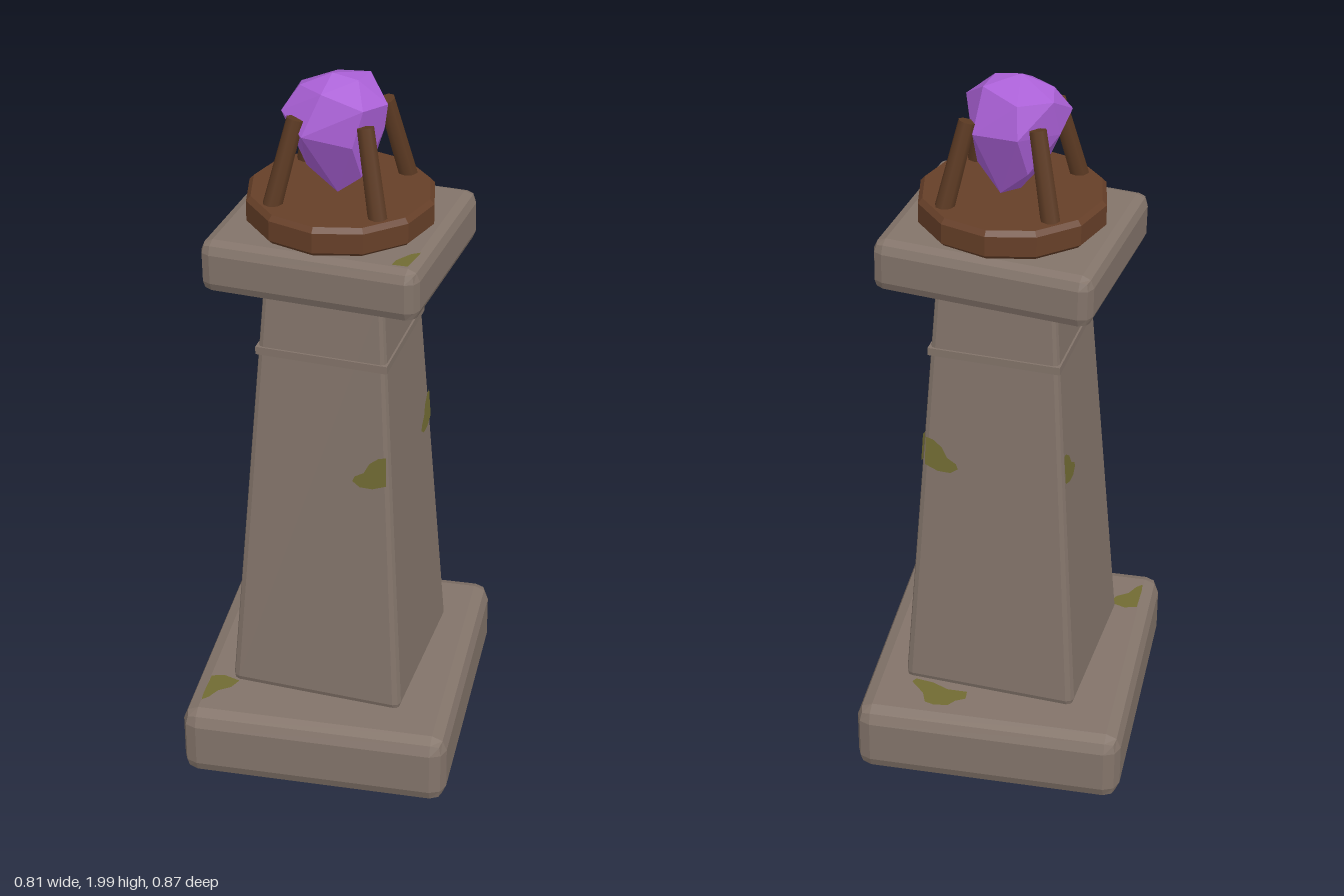
import * as THREE from 'three';
import { RoundedBoxGeometry } from 'three/addons/geometries/RoundedBoxGeometry.js';
import { ConvexGeometry } from 'three/addons/geometries/ConvexGeometry.js';

const material = (name, color, extra = {}) => new THREE.MeshStandardMaterial({ name, color, ...extra });
const stone = material('stone', 0x83746a);
const wood = material('wood', 0x663f28);
const darkWood = material('dark wood', 0x5c3a23);
const crystalPurple = material('crystal purple', 0xaa60d6);
const moss = material('moss', 0x716b33, { side: THREE.DoubleSide });

function mesh(name, geometry, mat) {
  const m = new THREE.Mesh(geometry, mat);
  m.name = name;
  return m;
}

// Bevelled block with flat facets, narrowing towards the top
function block(w, h, d, bevel, topScale = 1) {
  const g = new RoundedBoxGeometry(w, h, d, 1, bevel);
  const p = g.attributes.position;
  for (let i = 0; i < p.count; i++) {
    const s = THREE.MathUtils.lerp(1, topScale, p.getY(i) / h + 0.5);
    p.setX(i, p.getX(i) * s);
    p.setZ(i, p.getZ(i) * s);
  }
  g.computeVertexNormals();
  return g;
}

// Thin moss outline in the xy plane
function patch(points) {
  return new THREE.ShapeGeometry(new THREE.Shape(points.map(([x, y]) => new THREE.Vector2(x, y))));
}

// Moss lying on a horizontal face, points given as x, z
function flatMoss(points, y) {
  const g = patch(points.map(([x, z]) => [x, -z])).rotateX(-Math.PI / 2);
  return mesh('moss', g.translate(0, y, 0), moss);
}

// Crooked slab: turned about y, then tilted sideways
function slab(name, [w, h, d], bevel, y, yaw, tilt) {
  const group = new THREE.Group();
  group.name = name;
  group.position.y = y;
  group.rotation.z = tilt;
  const body = mesh(name + 'Block', block(w, h, d, bevel), stone);
  body.rotation.y = yaw;
  group.add(body);
  return group;
}

export function createModel() {
  const model = new THREE.Group();
  model.name = 'crystalPillar';

  // Base slab with moss on top and traces underneath
  const base = slab('baseSlab', [0.745, 0.208, 0.81], 0.042, 0.112, 0.097, 0.007);
  const backMoss = [[0.05, -0.3], [0.075, -0.317], [0.09, -0.342], [0.13, -0.35], [0.155, -0.345], [0.172, -0.31],
    [0.217, -0.27], [0.21, -0.255], [0.16, -0.258], [0.11, -0.275], [0.055, -0.27]];
  const frontMoss = [[-0.305, 0.25], [-0.27, 0.238], [-0.222, 0.25], [-0.235, 0.285], [-0.265, 0.31],
    [-0.28, 0.345], [-0.295, 0.362], [-0.3, 0.33]];
  base.add(flatMoss(backMoss, 0.107), flatMoss(frontMoss, 0.107));
  base.add(flatMoss(backMoss.map(([x, z]) => [0.13 + (x - 0.13) * 0.7, z]), -0.107));
  model.add(base);

  // Tapering column and its thin neck band
  const column = mesh('column', block(0.492, 1.25, 0.492, 0.02, 0.66), stone);
  column.position.y = 0.835;
  model.add(column);
  const band = mesh('neckBand', new THREE.BoxGeometry(0.36, 0.022, 0.36), stone);
  band.position.y = 1.262;
  model.add(band);

  // Moss growing at the column's edges, one patch per face
  const edgeMoss = [[0.094, -0.03], [0.115, -0.045], [0.15, -0.045], [0.187, -0.03], [0.185, 0.055],
    [0.165, 0.05], [0.14, 0.03], [0.125, 0], [0.1, -0.015]];
  [[0, 1], [1, 1], [2, -1], [3, -1]].forEach(([turn, side]) => {
    const face = new THREE.Group();
    face.name = 'columnMoss';
    face.rotation.y = turn * Math.PI / 2;
    const m = mesh('moss', patch(edgeMoss.map(([x, y]) => [x * side, y])), moss);
    m.position.set(0, 0.95, 0.2);
    m.rotation.x = -0.067;
    face.add(m);
    model.add(face);
  });

  // Cap slab
  const cap = slab('capSlab', [0.59, 0.145, 0.53], 0.032, 1.528, -0.047, 0.02);
  cap.add(flatMoss([[0.262, 0.158], [0.24, 0.172], [0.212, 0.215], [0.208, 0.24], [0.25, 0.24]], 0.0755));
  model.add(cap);

  // Twelve-sided wooden plate with bevelled rims
  const profile = [[0, 1.6], [0.238, 1.6], [0.25, 1.612], [0.25, 1.667], [0.238, 1.68], [0, 1.68]]
    .map(([r, y]) => new THREE.Vector2(r, y));
  const plate = new THREE.LatheGeometry(profile, 12).toNonIndexed();
  plate.computeVertexNormals();
  model.add(mesh('plate', plate, wood));

  // Four prongs leaning inwards around the crystal
  const up = new THREE.Vector3(0, 1, 0);
  for (const sx of [-1, 1]) {
    for (const sz of [-1, 1]) {
      const foot = new THREE.Vector3(sx * 0.143, 1.66, sz * 0.143);
      const tip = new THREE.Vector3(sx * 0.092, 1.9, sz * 0.092);
      const axis = tip.clone().sub(foot);
      const prong = mesh('prong', new THREE.CylinderGeometry(0.023, 0.026, axis.length(), 8), darkWood);
      prong.position.copy(foot).add(tip).multiplyScalar(0.5);
      prong.quaternion.setFromUnitVectors(up, axis.normalize());
      model.add(prong);
    }
  }

  // Rough-cut crystal
  const crystalPoints = [
    [0.0, 1.68, 0.03], [0.02, 1.685, -0.045], [-0.03, 1.7, -0.03],
    [-0.08, 1.75, 0.04], [0.07, 1.74, 0.05], [0.08, 1.77, -0.05], [-0.06, 1.76, -0.07],
    [-0.07, 1.86, 0.115], [0.06, 1.84, 0.1], [0.115, 1.86, 0.0], [0.075, 1.87, -0.105],
    [-0.05, 1.88, -0.13], [-0.125, 1.85, 0.0], [-0.142, 1.9, 0.055], [-0.115, 1.95, -0.03],
    [0.085, 1.94, 0.09], [0.125, 1.93, 0.005], [0.06, 1.985, -0.06], [-0.03, 1.965, 0.075],
    [-0.02, 2.0, 0.01], [0.05, 1.99, 0.015], [-0.1, 1.965, 0.03], [-0.04, 1.96, -0.1],
  ].map((p) => new THREE.Vector3(...p));
  model.add(mesh('crystal', new ConvexGeometry(crystalPoints), crystalPurple));

  return model;
}
